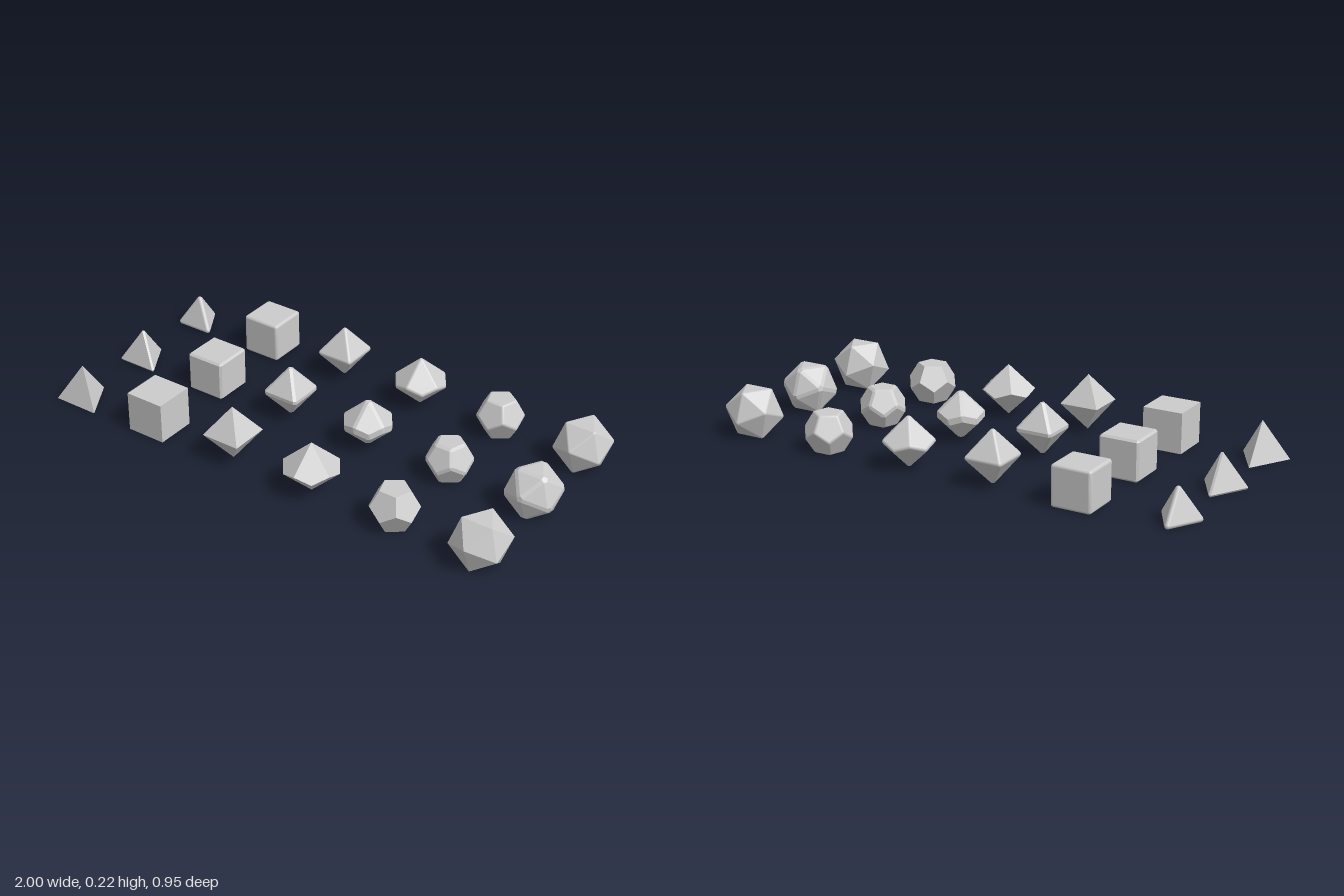
import * as THREE from 'three';
import { ConvexGeometry } from 'three/addons/geometries/ConvexGeometry.js';

const V = (x, y, z) => new THREE.Vector3(x, y, z);

// n points on a horizontal circle; the first points to -z, turned by a fraction of a step
function ring(n, r, y, turn = 0) {
  return Array.from({ length: n }, (_, i) => {
    const a = ((i + turn) / n) * Math.PI * 2;
    return V(Math.sin(a) * r, y, -Math.cos(a) * r);
  });
}
const withOpposites = (pts) => [...pts, ...pts.map((p) => p.clone().negate())];

// Corner points of each solid, centred on its inscribed sphere
function tetrahedron(edge) {
  const h = edge * Math.sqrt(2 / 3);
  return [V(0, h * 0.75, 0), ...ring(3, edge / Math.sqrt(3), -h / 4)];
}
function cube(s) {
  return withOpposites(ring(4, s * Math.SQRT1_2, s / 2, 0.5));
}
function octahedron(edge) {
  const r = edge * Math.SQRT1_2;
  return [V(0, r, 0), V(0, -r, 0), ...ring(4, r, 0, 0.5)];
}
function trapezohedron(r, h) {
  const c = Math.cos(Math.PI / 5);
  return withOpposites([V(0, h, 0), ...ring(5, r, (h * (1 - c)) / (1 + c), 0.5)]);
}
function dodecahedron(inradius) {
  const R = inradius / 0.7946545;
  return withOpposites([...ring(5, R * 0.6070620, inradius), ...ring(5, R * 0.9822469, R * 0.1875925)]);
}
function icosahedron(inradius) {
  const R = inradius / 0.7946545;
  return withOpposites([...ring(3, R * 0.6070620, inradius), ...ring(3, R * 0.9822469, R * 0.1875925, 0.5)]);
}

// Distinct face planes of a convex solid
function facePlanes(points) {
  const pos = new ConvexGeometry(points).getAttribute('position');
  const planes = [];
  for (let i = 0; i < pos.count; i += 3) {
    const [a, b, c] = [0, 1, 2].map((k) => V().fromBufferAttribute(pos, i + k));
    const plane = new THREE.Plane().setFromCoplanarPoints(a, b, c);
    if (!planes.some((p) => p.normal.dot(plane.normal) > 0.999)) planes.push(plane);
  }
  return planes;
}

// Shrinks the solid by d, then grows it back: steps 0 gives flat chamfers,
// more steps give round edges and corners
function softened(points, d, steps) {
  const planes = facePlanes(points);
  const inradius = -planes[0].constant;
  const touches = (plane, p) => Math.abs(plane.distanceToPoint(p)) < 1e-4;
  const hull = [];
  const add = (base, dir) => {
    const p = base.clone().addScaledVector(dir, d);
    if (!hull.some((h) => h.p.distanceToSquared(p) < 1e-10)) hull.push({ p, dir });
  };
  for (const corner of points) {
    const base = corner.clone().multiplyScalar(1 - d / inradius);
    const near = planes.filter((pl) => touches(pl, corner));
    near.forEach((pl) => add(base, pl.normal.clone()));
    if (!steps) continue;
    const mid = near.reduce((s, pl) => s.add(pl.normal), V(0, 0, 0)).normalize();
    near.forEach((f, i) => near.slice(i + 1).forEach((g) => {
      if (points.filter((p) => touches(f, p) && touches(g, p)).length !== 2) return;
      for (let a = 0; a <= steps; a++) {
        for (let b = 0; a + b <= steps; b++) {
          const dir = V(0, 0, 0).addScaledVector(f.normal, a).addScaledVector(g.normal, b)
            .addScaledVector(mid, steps - a - b).normalize();
          add(base, dir);
        }
      }
    }));
  }
  const geometry = new ConvexGeometry(hull.map((h) => h.p));
  if (steps) {
    // Smooth shading: each hull point keeps the direction it was pushed along
    const pos = geometry.getAttribute('position');
    const normal = geometry.getAttribute('normal');
    const p = V();
    for (let i = 0; i < pos.count; i++) {
      p.fromBufferAttribute(pos, i);
      let best = hull[0];
      for (const h of hull) if (h.p.distanceToSquared(p) < best.p.distanceToSquared(p)) best = h;
      normal.setXYZ(i, best.dir.x, best.dir.y, best.dir.z);
    }
  }
  return geometry;
}

export function createModel() {
  const group = new THREE.Group();
  const material = new THREE.MeshStandardMaterial({ color: 0xcccccc });

  // name, corners, height of centre, z offset, chamfer depth
  const dice = [
    ['fourSidedDie', tetrahedron(0.191), 0.039, 0.025, 0.0057],
    ['sixSidedDie', cube(0.162), 0.081, 0, 0.008],
    ['eightSidedDie', octahedron(0.159), 0.1124, 0, 0.0113],
    ['tenSidedDie', trapezohedron(0.1085, 0.104), 0.104, 0, 0.017],
    ['twelveSidedDie', dodecahedron(0.0778), 0.0778, -0.003, 0.013],
    ['twentySidedDie', icosahedron(0.0925), 0.0925, 0.006, 0.021],
  ];
  const spacing = 0.361;

  dice.forEach(([name, corners, y, dz, chamfer], i) => {
    // Front row sharp, middle row chamfered, back row rounded
    const rows = [
      ['Sharp', new ConvexGeometry(corners)],
      ['Chamfered', softened(corners, chamfer, 0)],
      ['Rounded', softened(corners, 0.0118, 4)],
    ];
    rows.forEach(([finish, geometry], row) => {
      const die = new THREE.Mesh(geometry, material);
      die.name = name + finish;
      die.position.set((i - 2.5) * spacing - 0.001, y, 0.351 - row * spacing + dz);
      group.add(die);
    });
  });
  return group;
}
